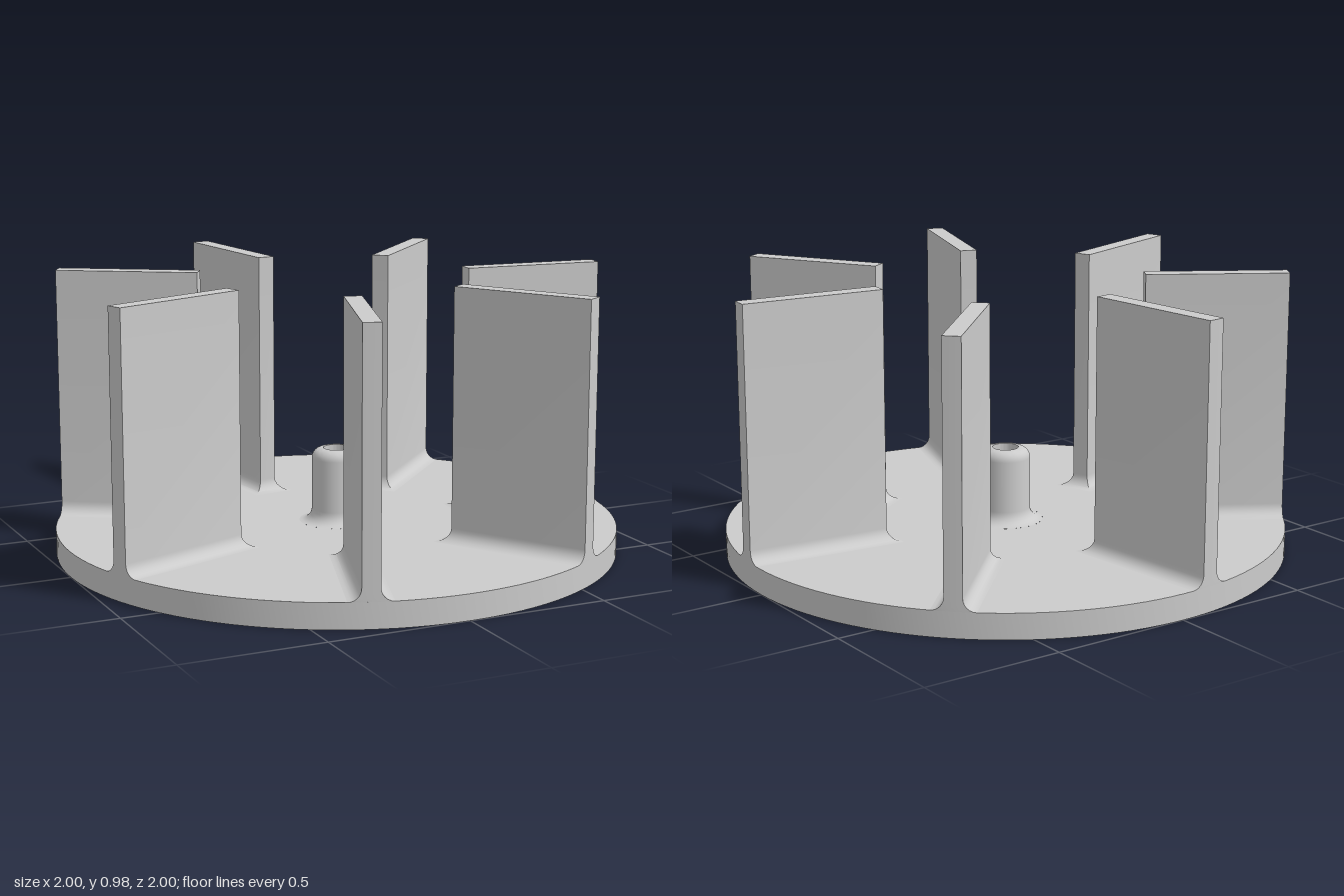
import * as THREE from 'three';
import { toCreasedNormals } from 'three/addons/utils/BufferGeometryUtils.js';

const BASE = 0.09, TOP = 0.98, FILLET = 0.045;
const BORE = 0.046, HUB = 0.088, HUB_TOP = 0.355;
const BLADES = 7, FIRST_ANGLE = 6.1, INNER = 0.49, HALF = 0.031;
const STEPS = 6;

const material = new THREE.MeshStandardMaterial({ color: 0xcccccc });

function part(name, geometry) {
  const mesh = new THREE.Mesh(toCreasedNormals(geometry, 0.6), material);
  mesh.name = name;
  return mesh;
}

const lathe = (points, segments) =>
  new THREE.LatheGeometry(points.map(([r, y]) => new THREE.Vector2(r, y)), segments);

// Concave root fillet: [outward offset, height] pairs from the plate upwards
const rootFillet = [];
for (let i = 0; i <= STEPS; i++) {
  const a = (i / STEPS) * Math.PI / 2;
  rootFillet.push([FILLET * (1 - Math.sin(a)), BASE + FILLET * (1 - Math.cos(a))]);
}

// Horizontal outline of a blade grown by d; its outer end follows the plate rim
function bladeOutline(d) {
  const w = HALF + d;
  const outline = [[INNER - d, w]];
  for (let i = 0; i <= 4; i++) {
    const z = w * (1 - i / 2);
    outline.push([Math.sqrt(1 - z * z), z]);
  }
  outline.push([INNER - d, -w]);
  return outline;
}

// Blade lofted through its fillet levels up to a flat top
function bladeGeometry() {
  const levels = [...rootFillet, [0, TOP]];
  const positions = [], indices = [];
  for (const [d, y] of levels)
    for (const [x, z] of bladeOutline(d)) positions.push(x, y, z);
  const n = bladeOutline(0).length;
  for (let l = 0; l < levels.length - 1; l++) {
    for (let i = 0; i < n; i++) {
      const a = l * n + i, b = l * n + (i + 1) % n;
      indices.push(a, b, b + n, a, b + n, a + n);
    }
  }
  const cap = (levels.length - 1) * n;
  for (let i = 1; i < n - 1; i++) indices.push(cap, cap + i, cap + i + 1);
  const geometry = new THREE.BufferGeometry();
  geometry.setAttribute('position', new THREE.Float32BufferAttribute(positions, 3));
  geometry.setIndex(indices);
  return geometry;
}

export function createModel() {
  const model = new THREE.Group();
  model.name = 'impeller';

  // Round base plate, with the bore running through it
  model.add(part('basePlate', lathe([
    [BORE, BASE], [BORE, 0], [1, 0], [1, BASE], [HUB + FILLET, BASE],
  ], 128)));

  // Hub with filleted foot, rounded shoulder and open bore
  const hub = rootFillet.map(([d, y]) => [HUB + d, y]);
  const round = 0.036;
  for (let i = 0; i <= STEPS; i++) {
    const a = (i / STEPS) * Math.PI / 2;
    hub.push([HUB - round + round * Math.cos(a), HUB_TOP - round + round * Math.sin(a)]);
  }
  hub.push([BORE, HUB_TOP], [BORE, BASE]);
  model.add(part('hub', lathe(hub, 48)));

  // Ring of radial blades
  const blades = new THREE.Group();
  blades.name = 'blades';
  const geometry = bladeGeometry();
  for (let i = 0; i < BLADES; i++) {
    const blade = part('blade', geometry);
    blade.rotation.y = -(THREE.MathUtils.degToRad(FIRST_ANGLE) + (i / BLADES) * Math.PI * 2);
    blades.add(blade);
  }
  model.add(blades);
  return model;
}
